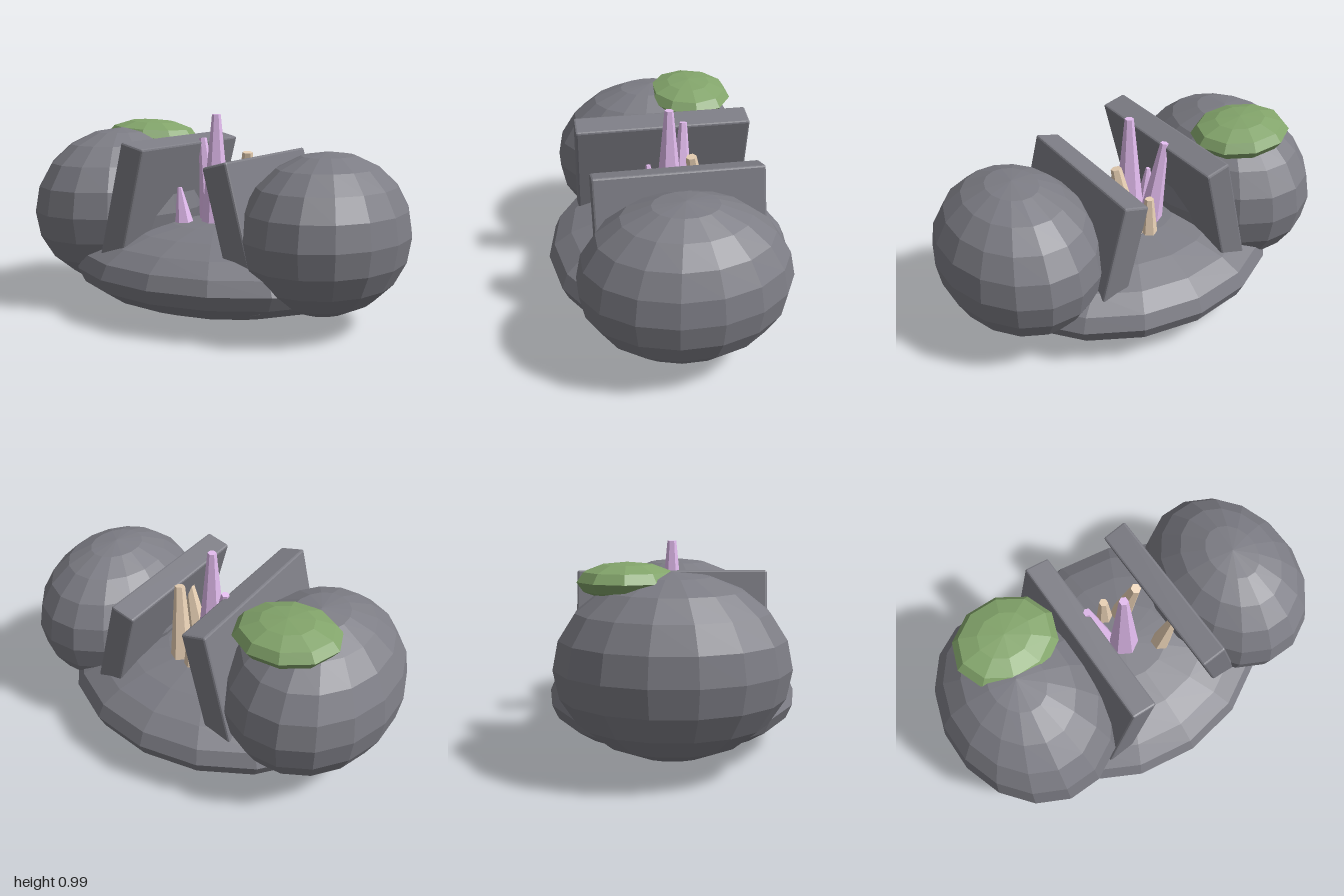
import * as THREE from 'three';
import { RoundedBoxGeometry } from 'three/addons/geometries/RoundedBoxGeometry.js';

const mat = (color) => new THREE.MeshStandardMaterial({ color, flatShading: true, roughness: 0.9 });
const stone = mat(0x7d7d85);
const mossGreen = mat(0x83a56b);
const violet = mat(0xe4bdf0);
const sand = mat(0xe8d0b4);

export function createModel() {
  const group = new THREE.Group();

  const add = (name, geometry, material, position) => {
    const mesh = new THREE.Mesh(geometry, material);
    mesh.name = name;
    mesh.position.set(...position);
    group.add(mesh);
    return mesh;
  };

  // Faceted ellipsoid given by its three radii
  const rock = (name, material, position, radii, segments, rows, turn = 0) => {
    const geometry = new THREE.SphereGeometry(1, segments, rows).rotateY(turn).scale(...radii);
    return add(name, geometry, material, position);
  };

  // Six-sided tapering crystal running from base to tip
  const crystal = (name, material, base, tip, baseRadius, tipRadius) => {
    const from = new THREE.Vector3(...base);
    const axis = new THREE.Vector3(...tip).sub(from);
    const length = axis.length();
    const geometry = new THREE.CylinderGeometry(tipRadius, baseRadius, length, 6).translate(0, length / 2, 0);
    const mesh = add(name, geometry, material, base);
    mesh.quaternion.setFromUnitVectors(new THREE.Vector3(0, 1, 0), axis.normalize());
  };

  // Broad ground stone and the two boulders resting on its sides
  rock('baseStone', stone, [0, 0.228, 0], [0.77, 0.224, 0.622], 16, 10);
  rock('rightBoulder', stone, [-0.59, 0.49, 0], [0.416, 0.415, 0.525], 16, 10, 0.2);
  rock('leftBoulder', stone, [0.62, 0.457, 0.035], [0.386, 0.383, 0.49], 16, 10, 0.2);

  // Moss cushion on the taller boulder
  rock('moss', mossGreen, [-0.528, 0.857, -0.197], [0.255, 0.084, 0.225], 10, 6).rotation.z = -0.05;

  // Slabs leaning in towards each other
  const slab = (name, size, position, lean) => {
    add(name, new RoundedBoxGeometry(...size, 1, 0.01), stone, position).rotation.z = lean;
  };
  slab('rightSlab', [0.13, 0.75, 0.89], [-0.286, 0.494, 0], -0.245);
  slab('leftSlab', [0.13, 0.7, 0.82], [0.319, 0.452, 0], 0.26);

  // Crystal cluster
  crystal('mainCrystal', violet, [0, 0.4, 0], [0, 0.99, 0], 0.08, 0.022);
  crystal('leaningCrystal', violet, [-0.07, 0.4, -0.075], [-0.14, 0.86, -0.097], 0.065, 0.02);
  crystal('smallCrystal', violet, [-0.145, 0.4, 0.07], [-0.17, 0.62, 0.08], 0.055, 0.012);
  crystal('tallSandCrystal', sand, [0.08, 0.4, -0.15], [0.132, 0.8, -0.085], 0.06, 0.026);
  crystal('frontSandCrystal', sand, [0.15, 0.4, 0.1], [0.215, 0.67, 0.115], 0.055, 0.022);
  crystal('backSandCrystal', sand, [0, 0.4, -0.175], [0, 0.63, -0.175], 0.046, 0.022);

  return group;
}
